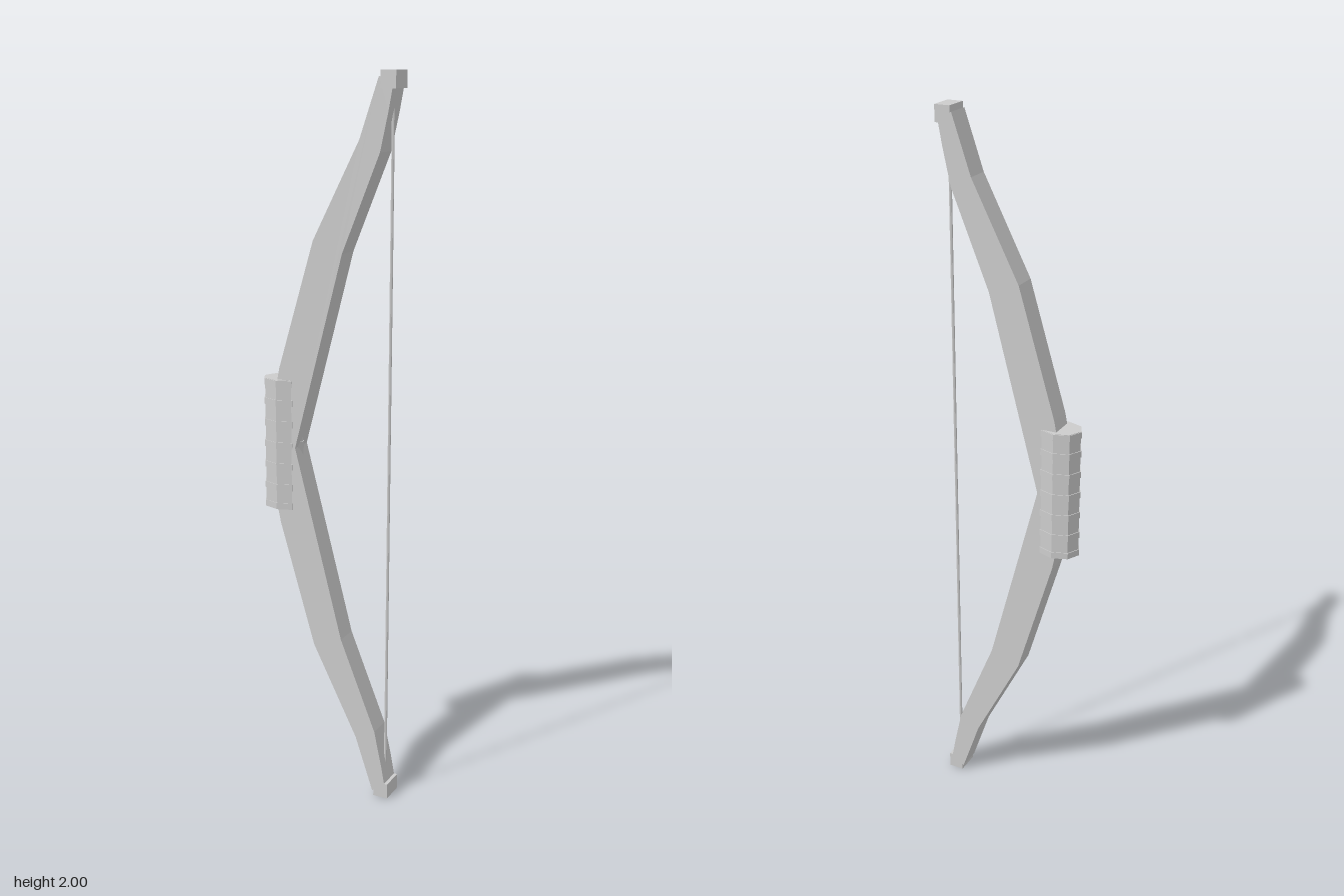
import * as THREE from 'three';

const mat = new THREE.MeshStandardMaterial({ color: 0xcccccc, flatShading: true });
const DEPTH = 0.068;

function add(parent, name, geometry, x = 0, y = 0, z = 0) {
  const mesh = new THREE.Mesh(geometry, mat);
  mesh.name = name;
  mesh.position.set(x, y, z);
  parent.add(mesh);
  return mesh;
}

export function createModel() {
  const bow = new THREE.Group();
  bow.name = 'bow';

  // Both limbs as one flat-sided stave, mirrored about mid height
  const outer = [[-0.147, 1.17], [-0.137, 1.22], [-0.033, 1.57], [0.1, 1.83], [0.153, 1.985]];
  const inner = [[0.192, 1.965], [0.18, 1.9], [0.158, 1.8], [0.052, 1.54], [-0.09, 1]];
  const upper = [...outer, ...inner];
  const lower = upper.slice(0, -1).reverse().map(([x, y]) => [x, 2 - y]);
  const outline = [...upper, ...lower].map(([x, y]) => new THREE.Vector2(x, y));
  add(bow, 'limbs', new THREE.ExtrudeGeometry(new THREE.Shape(outline),
    { depth: DEPTH, bevelEnabled: false }), 0, 0, -DEPTH / 2);

  // Square nocks at both tips
  for (const [name, y] of [['upperNock', 1.978], ['lowerNock', 0.022]]) {
    add(bow, name, new THREE.BoxGeometry(0.043, 0.044, DEPTH), 0.1785, y);
  }

  // Bowstring
  add(bow, 'string', new THREE.CylinderGeometry(0.004, 0.004, 1.84, 6), 0.178, 1);

  // Eight-sided grip, flattened front to back, with wrapped cord bands
  const grip = new THREE.Group();
  grip.name = 'grip';
  grip.position.set(-0.141, 1.004, 0);
  grip.scale.z = 0.82;
  bow.add(grip);
  add(grip, 'gripCore', new THREE.CylinderGeometry(0.058, 0.058, 0.368, 8));
  for (const y of [-0.174, -0.12, -0.06, 0, 0.06, 0.12, 0.174]) {
    add(grip, 'gripBand', new THREE.CylinderGeometry(0.0605, 0.0605, 0.018, 8), 0, y);
  }

  return bow;
}
